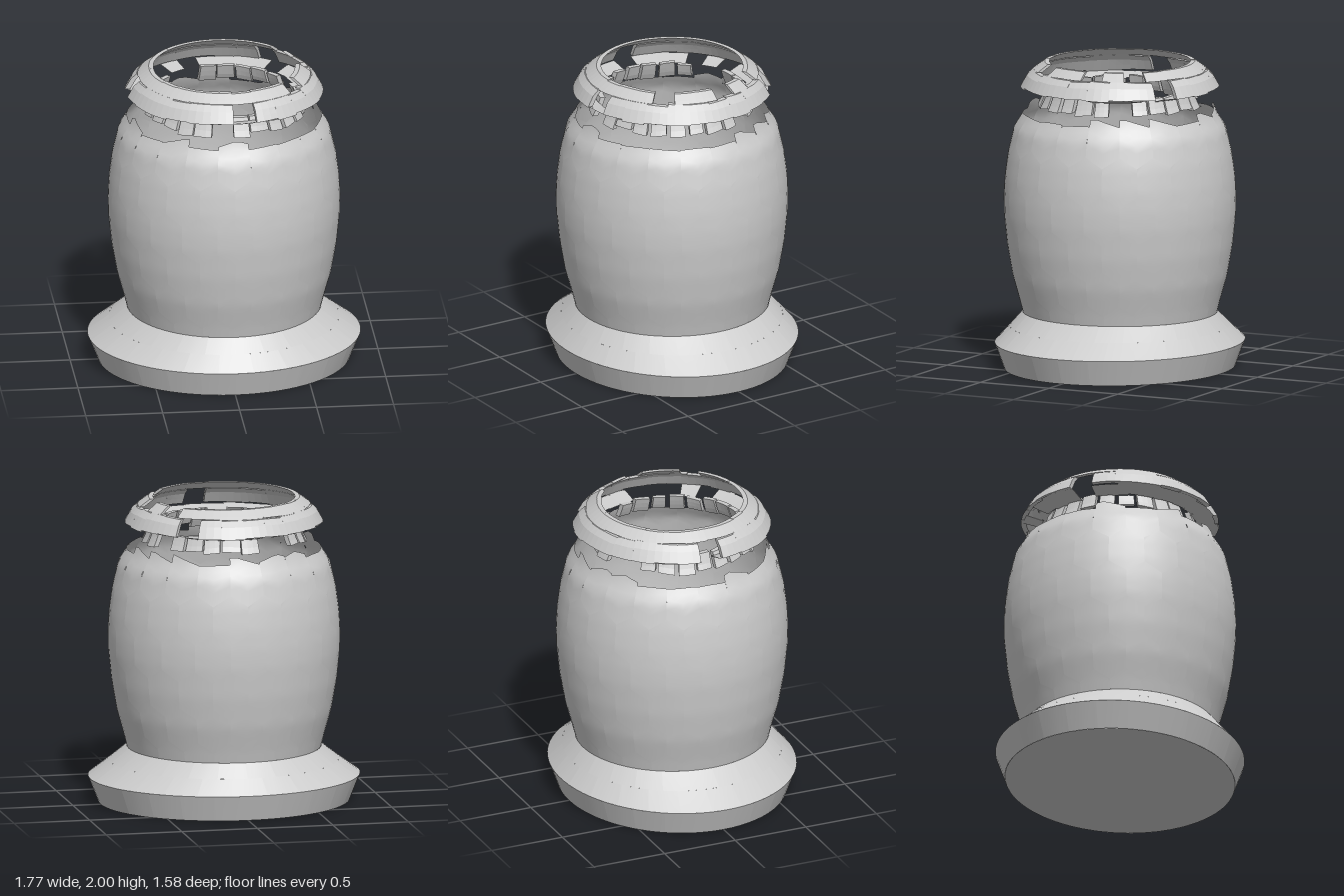
import * as THREE from 'three';
import { mergeGeometries } from 'three/addons/utils/BufferGeometryUtils.js';

const TAU = Math.PI * 2;
let seed = 7;
const rand = () => { seed = (seed * 16807) % 2147483647; return seed / 2147483647; };

// Sections of the pot as [radius, height], bottom to top
const WALL = [[0.73, 0], [0.79, 0.17], [0.705, 0.27], [0.63, 0.36], [0.65, 0.44], [0.695, 0.6], [0.73, 0.8],
  [0.75, 1.0], [0.752, 1.12], [0.745, 1.25], [0.725, 1.4], [0.685, 1.57], [0.63, 1.655], [0.595, 1.75]];
const NECK = [[0.545, 1.69], [0.51, 1.76], [0.485, 1.83]];
const RIM = [[0.645, 1.83], [0.6, 1.91], [0.555, 1.95], [0.485, 2.0]];
const UNDER = [[0.5, 1.8], [0.635, 1.835]];

function radiusAt(profile, y) {
  let i = 1;
  while (i < profile.length - 1 && y > profile[i][1]) i++;
  const [r0, y0] = profile[i - 1], [r1, y1] = profile[i];
  return r0 + (r1 - r0) * (y - y0) / (y1 - y0);
}

// The foot is wider from side to side than from front to back
const widen = (y) => 1 + 0.12 * THREE.MathUtils.clamp((0.36 - y) / 0.19, 0, 1);

// One curved shard between two angles and two edge curves; thickness 0 gives a bare skin
function shard(profile, a0, a1, low, high, thickness = 0, nu = 4, nv = 5) {
  const pos = [], idx = [], w = nu + 1;
  const layer = (inset) => {
    for (let j = 0; j <= nv; j++) for (let i = 0; i <= nu; i++) {
      const a = a0 + (a1 - a0) * i / nu;
      const lo = low(a), y = lo + (high(a) - lo) * j / nv;
      const r = radiusAt(profile, y) - inset;
      pos.push(r * Math.sin(a) * widen(y), y, r * Math.cos(a));
    }
  };
  const quad = (a, b, c, d) => idx.push(a, b, c, a, c, d);
  layer(0);
  for (let j = 0; j < nv; j++) for (let i = 0; i < nu; i++) {
    const k = j * w + i;
    quad(k, k + 1, k + w + 1, k + w);
  }
  if (thickness) {
    const n = w * (nv + 1), top = nv * w;
    layer(thickness);
    for (let j = 0; j < nv; j++) for (let i = 0; i < nu; i++) {
      const k = n + j * w + i;
      quad(k, k + w, k + w + 1, k + 1);
    }
    for (let i = 0; i < nu; i++) {
      quad(i, n + i, n + i + 1, i + 1);
      quad(top + i, top + i + 1, n + top + i + 1, n + top + i);
    }
    for (let j = 0; j < nv; j++) {
      const l = j * w, r = l + nu;
      quad(l, l + w, n + l + w, n + l);
      quad(r, n + r, n + r + w, r + w);
    }
  }
  let g = new THREE.BufferGeometry();
  g.setAttribute('position', new THREE.Float32BufferAttribute(pos, 3));
  g.setIndex(idx);
  if (thickness) g = g.toNonIndexed();
  g.computeVertexNormals();
  return g;
}

const material = new THREE.MeshStandardMaterial({ color: 0xcccccc, side: THREE.DoubleSide });

function addMesh(group, name, geometries) {
  const mesh = new THREE.Mesh(mergeGeometries(geometries), material);
  mesh.name = name;
  group.add(mesh);
}

// Ring of loose thick shards with uneven ends and some pieces missing
function brokenRing(profile, count, y0, y1, { jitter, missing, thickness, gap = 0 }) {
  const out = [];
  for (let i = 0; i < count; i++) {
    const lo = y0 + rand() * jitter, hi = y1 - rand() * jitter, tilt = (rand() - 0.5) * jitter;
    const lost = rand() < missing;
    const a0 = TAU * (i + gap * rand()) / count, a1 = TAU * (i + 1 - gap * rand()) / count;
    if (lost) continue;
    const side = (a) => (a - a0) / (a1 - a0) - 0.5;
    out.push(shard(profile, a0, a1, (a) => Math.max(y0, lo + tilt * side(a)),
      (a) => Math.min(y1, hi + tilt * side(a)), thickness, 3, 3));
  }
  return out;
}

export function createModel() {
  seed = 7;
  const pot = new THREE.Group();
  pot.name = 'brokenPot';

  // Flat underside
  const floor = new THREE.CircleGeometry(0.73, 48).rotateX(Math.PI / 2).scale(widen(0), 1, 1);
  addMesh(pot, 'floor', [floor]);

  // Flared foot in three bands of shards
  const foot = [], footRows = [0, 0.17, 0.27, 0.36];
  for (let row = 0; row < 3; row++) for (let i = 0; i < 24; i++) {
    const shift = row % 2 ? 0.5 : 0;
    foot.push(shard(WALL, TAU * (i + shift) / 24, TAU * (i + 1 + shift) / 24,
      () => footRows[row], () => footRows[row + 1], 0, 3, 2));
  }
  addMesh(pot, 'foot', foot);

  // Barrel wall of interlocking honeycomb shards with a jagged top edge
  const rows = [0.36, 0.46, 0.69, 0.94, 1.19, 1.44, 1.66], columns = 20;
  const zigzag = (row) => (a) => {
    if (row === 0) return rows[0];
    const t = ((a / TAU * columns + row * 0.5) % 1 + 1) % 1;
    return rows[row] + 0.035 * (Math.abs(t - 0.5) * 4 - 1);
  };
  const wall = [];
  for (let row = 0; row < rows.length - 1; row++) for (let i = 0; i < columns; i++) {
    const shift = (row % 2) * 0.5;
    const a0 = TAU * (i + shift) / columns, a1 = TAU * (i + 1 + shift) / columns;
    const spike = rand() < 0.3 ? 0.06 : 0.01, lean = rand();
    const torn = (a) => 1.655 + spike * (1 - Math.abs((a - a0) / (a1 - a0) - lean));
    wall.push(shard(WALL, a0, a1, zigzag(row), row === rows.length - 2 ? torn : zigzag(row + 1), 0, 4, 6));
  }
  addMesh(pot, 'barrelWall', wall);

  // Loose neck fragments
  addMesh(pot, 'neckFragments',
    brokenRing(NECK, 26, 1.7, 1.83, { jitter: 0.03, missing: 0.25, thickness: 0.035, gap: 0.15 }));

  // Overhanging rim: underside, sloping band and broken lip
  addMesh(pot, 'rimUnderside',
    brokenRing(UNDER, 30, 1.8, 1.835, { jitter: 0.006, missing: 0.3, thickness: 0.015 }));
  addMesh(pot, 'rimBand',
    brokenRing(RIM, 26, 1.83, 1.95, { jitter: 0.012, missing: 0.06, thickness: 0.035 }));
  addMesh(pot, 'rimLip',
    brokenRing(RIM, 24, 1.945, 2.0, { jitter: 0.004, missing: 0.15, thickness: 0.03 }));

  return pot;
}
